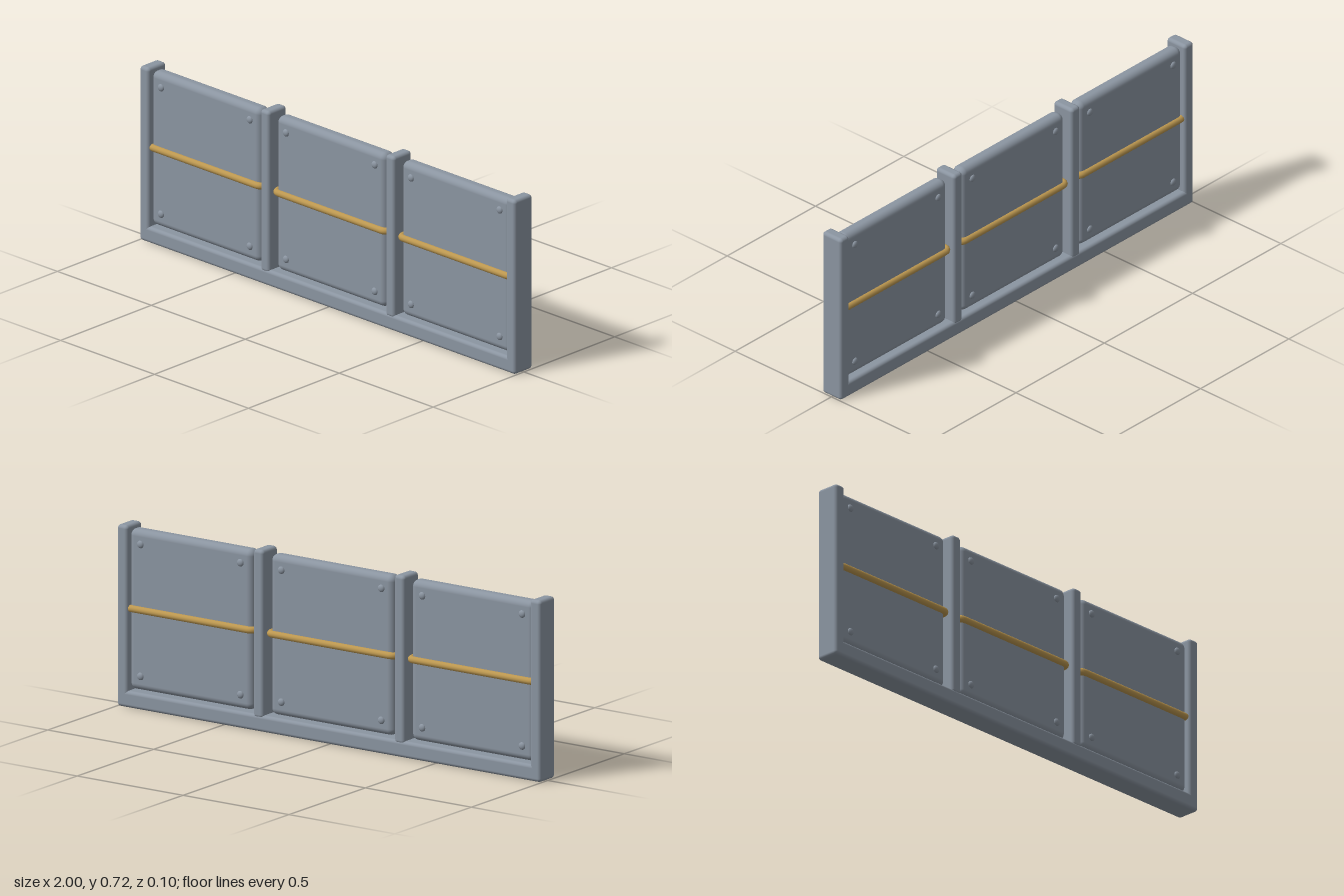
import * as THREE from 'three';
import { RoundedBoxGeometry } from 'three/addons/geometries/RoundedBoxGeometry.js';

const steel = new THREE.MeshStandardMaterial({ color: 0x8b95a1 });
steel.name = 'blue grey steel';
const brass = new THREE.MeshStandardMaterial({ color: 0xbd9850 });
brass.name = 'brass';

function add(parent, name, geometry, material, x = 0, y = 0, z = 0) {
  const mesh = new THREE.Mesh(geometry, material);
  mesh.name = name;
  mesh.position.set(x, y, z);
  parent.add(mesh);
  return mesh;
}

// Closed rounded-rectangle loop lying in the xz plane
function bandPath(hx, hz, r) {
  const path = new THREE.CurvePath();
  const v = (x, z) => new THREE.Vector3(x, 0, z);
  const corners = [[1, 1], [-1, 1], [-1, -1], [1, -1]];
  corners.forEach(([sx, sz], i) => {
    const alongX = v(sx * (hx - r), sz * hz);
    const alongZ = v(sx * hx, sz * (hz - r));
    const [start, end] = i % 2 ? [alongX, alongZ] : [alongZ, alongX];
    const [nx, nz] = corners[(i + 1) % 4];
    const next = i % 2 ? v(nx * hx, nz * (hz - r)) : v(nx * (hx - r), nz * hz);
    path.add(new THREE.QuadraticBezierCurve3(start, v(sx * hx, sz * hz), end));
    path.add(new THREE.LineCurve3(end, next));
  });
  return path;
}

export function createModel() {
  const model = new THREE.Group();
  model.name = 'panelBarrier';

  // Base rail and upright posts
  add(model, 'baseRail', new RoundedBoxGeometry(2, 0.066, 0.1, 4, 0.014), steel, 0, 0.033, 0);
  const endPost = new RoundedBoxGeometry(0.05, 0.715, 0.1, 4, 0.014);
  const innerPost = new RoundedBoxGeometry(0.048, 0.666, 0.1, 4, 0.014);
  for (const s of [-1, 1]) {
    add(model, 'endPost', endPost, steel, s * 0.975, 0.3615, 0);
    add(model, 'innerPost', innerPost, steel, s * 0.333, 0.386, 0);
  }

  // Three panels, each wrapped by a brass band and riveted on both faces
  const panel = new RoundedBoxGeometry(0.582, 0.635, 0.062, 6, 0.026);
  const band = new THREE.TubeGeometry(bandPath(0.297, 0.031, 0.025), 240, 0.014, 12, true);
  const rivet = new THREE.SphereGeometry(0.015, 16, 10);
  for (const x of [-0.665, 0, 0.665]) {
    const bay = new THREE.Group();
    bay.name = 'panelBay';
    bay.position.x = x;
    model.add(bay);
    add(bay, 'panel', panel, steel, 0, 0.388, 0);
    add(bay, 'brassBand', band, brass, 0, 0.39, 0);
    for (const sx of [-1, 1]) for (const y of [0.128, 0.65]) for (const sz of [-1, 1]) {
      add(bay, 'rivet', rivet, steel, sx * 0.236, y, sz * 0.031).scale.z = 0.6;
    }
  }
  return model;
}
